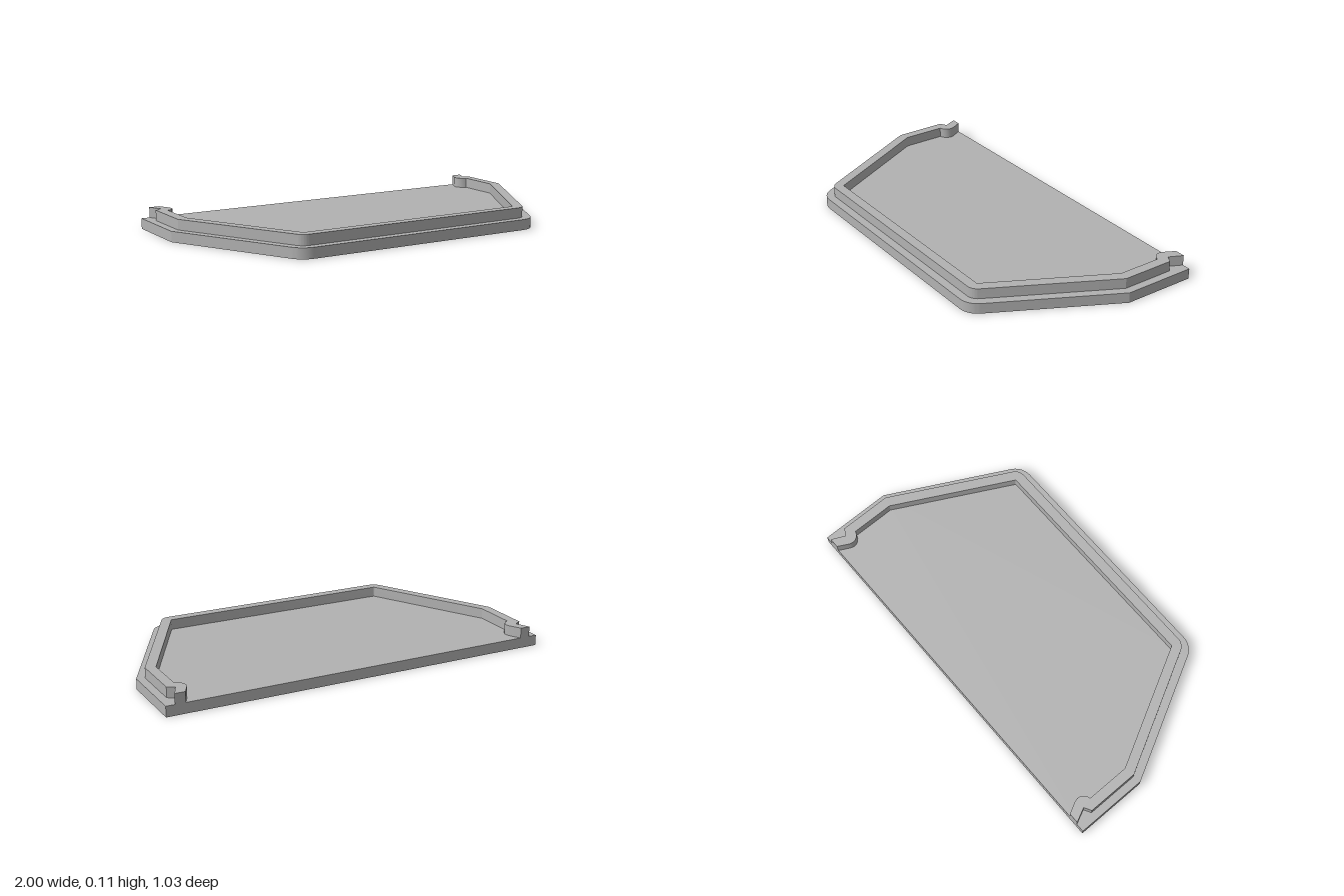
import * as THREE from 'three';
import { toCreasedNormals } from 'three/addons/utils/BufferGeometryUtils.js';

const BASE_H = 0.053, TOP = 0.105, BACK = -0.515;
const CORNER = { x: 0.594, z: 0.415 };   // centre of the rounded front corners
const TAPER = 0.49;                      // angle of the slanted sides' normal

// Rounded front corner on the +x side, running from slanted side to front edge
function cornerArc(r, steps = 10) {
  const pts = [];
  for (let i = 0; i <= steps; i++) {
    const a = TAPER + (Math.PI / 2 - TAPER) * i / steps;
    pts.push([CORNER.x + r * Math.cos(a), CORNER.z + r * Math.sin(a)]);
  }
  return pts;
}

// Full outline from the +x back end round the front to the -x back end
const mirrored = (half) => [...half, ...half.map(([x, z]) => [-x, z]).reverse()];

// Plan outline (x, z) raised between two heights
function slab(points, y0, y1) {
  const shape = new THREE.Shape(points.map(([x, z]) => new THREE.Vector2(x, -z)));
  const geo = new THREE.ExtrudeGeometry(shape, { depth: y1 - y0, bevelEnabled: false });
  geo.rotateX(-Math.PI / 2).translate(0, y0, 0);
  return toCreasedNormals(geo, 0.4);
}

export function createModel() {
  const group = new THREE.Group();
  group.name = 'trayLid';
  const grey = new THREE.MeshStandardMaterial({ color: 0xb2b2b2 });
  grey.name = 'grey';

  // Base plate
  const plate = mirrored([[1, BACK], [1, -0.145], ...cornerArc(0.1)]);
  const base = new THREE.Mesh(slab(plate, 0, BASE_H), grey);
  base.name = 'basePlate';

  // Raised rim, open at the back, with a notched snap hook at each end
  const outer = mirrored([
    [0.957, BACK], [0.924, -0.445], [0.96, -0.425], [0.96, -0.156], ...cornerArc(0.058),
  ]);
  const inner = mirrored([
    [0.905, BACK], [0.875, -0.458], [0.87, -0.44], [0.872, -0.424], [0.88, -0.41],
    [0.893, -0.398], [0.91, -0.391], [0.91, -0.17], ...cornerArc(0.008, 4),
  ]);
  const rim = new THREE.Mesh(slab([...outer, ...inner.reverse()], BASE_H, TOP), grey);
  rim.name = 'rim';

  group.add(base, rim);
  return group;
}
